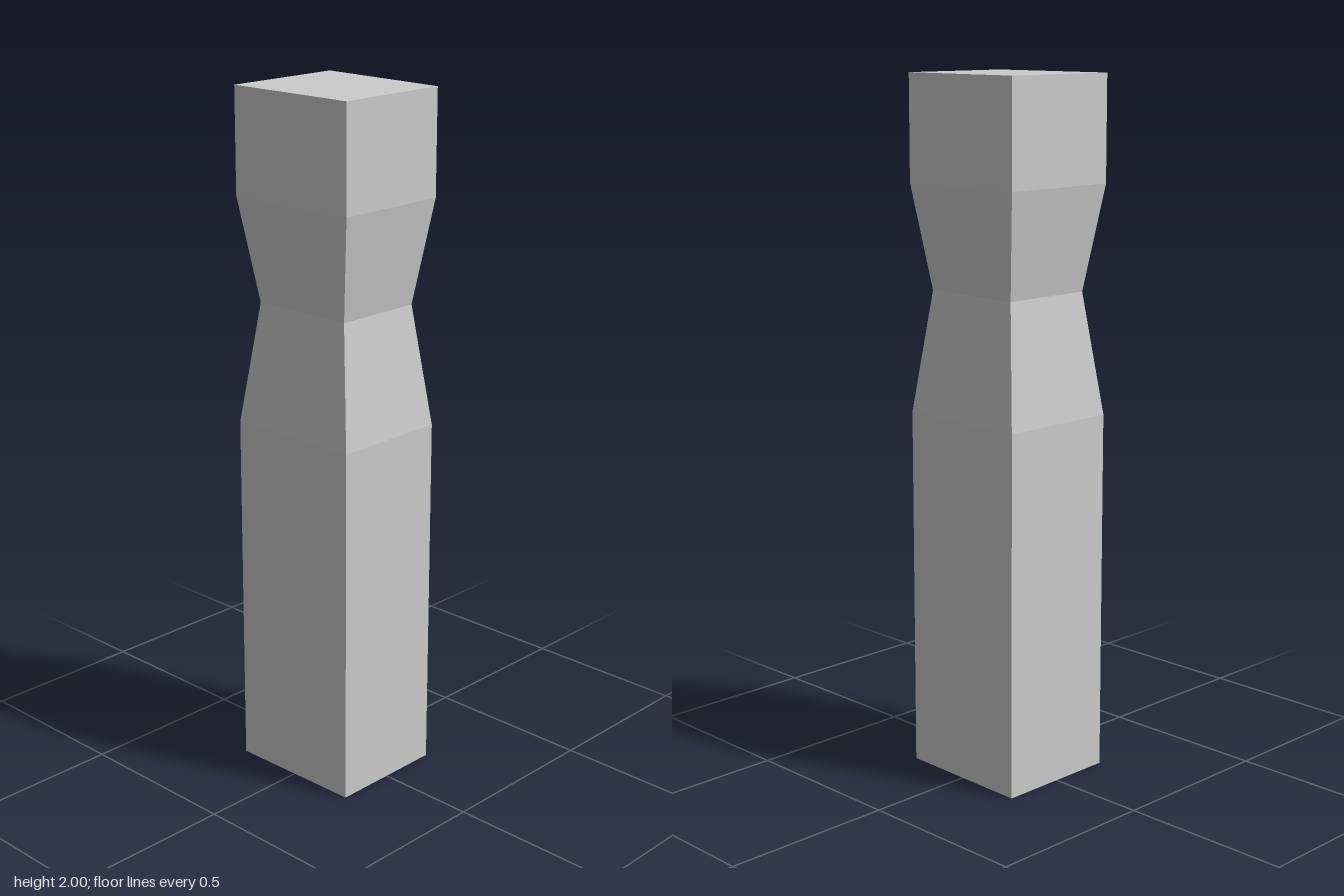
import * as THREE from 'three';

// Height of each ring of the post and its width relative to the full section
const RINGS = [[0, 1], [1.05, 1], [1.4, 0.77], [1.7, 1], [2, 1]];
const HALF_WIDTH = 0.204;

export function createModel() {
  const stone = new THREE.MeshStandardMaterial({ color: 0xcccccc });
  stone.name = 'light grey stone';

  // Square post pinched at the waist, slightly shallower on its +x side
  const box = new THREE.BoxGeometry(2, RINGS.length - 1, 2, 1, RINGS.length - 1, 1);
  const geometry = box.toNonIndexed();
  const p = geometry.attributes.position;
  for (let i = 0; i < p.count; i++) {
    const [y, scale] = RINGS[Math.round(p.getY(i) + (RINGS.length - 1) / 2)];
    const x = p.getX(i);
    const halfDepth = 0.179 - 0.004 * x;
    p.setXYZ(i, x * HALF_WIDTH * scale, y, p.getZ(i) * halfDepth * scale);
  }
  geometry.clearGroups();
  geometry.computeVertexNormals(); // unshared corners keep every facet flat

  const post = new THREE.Mesh(geometry, stone);
  post.name = 'post';
  const model = new THREE.Group();
  model.name = 'waistedPost';
  model.add(post);
  return model;
}
